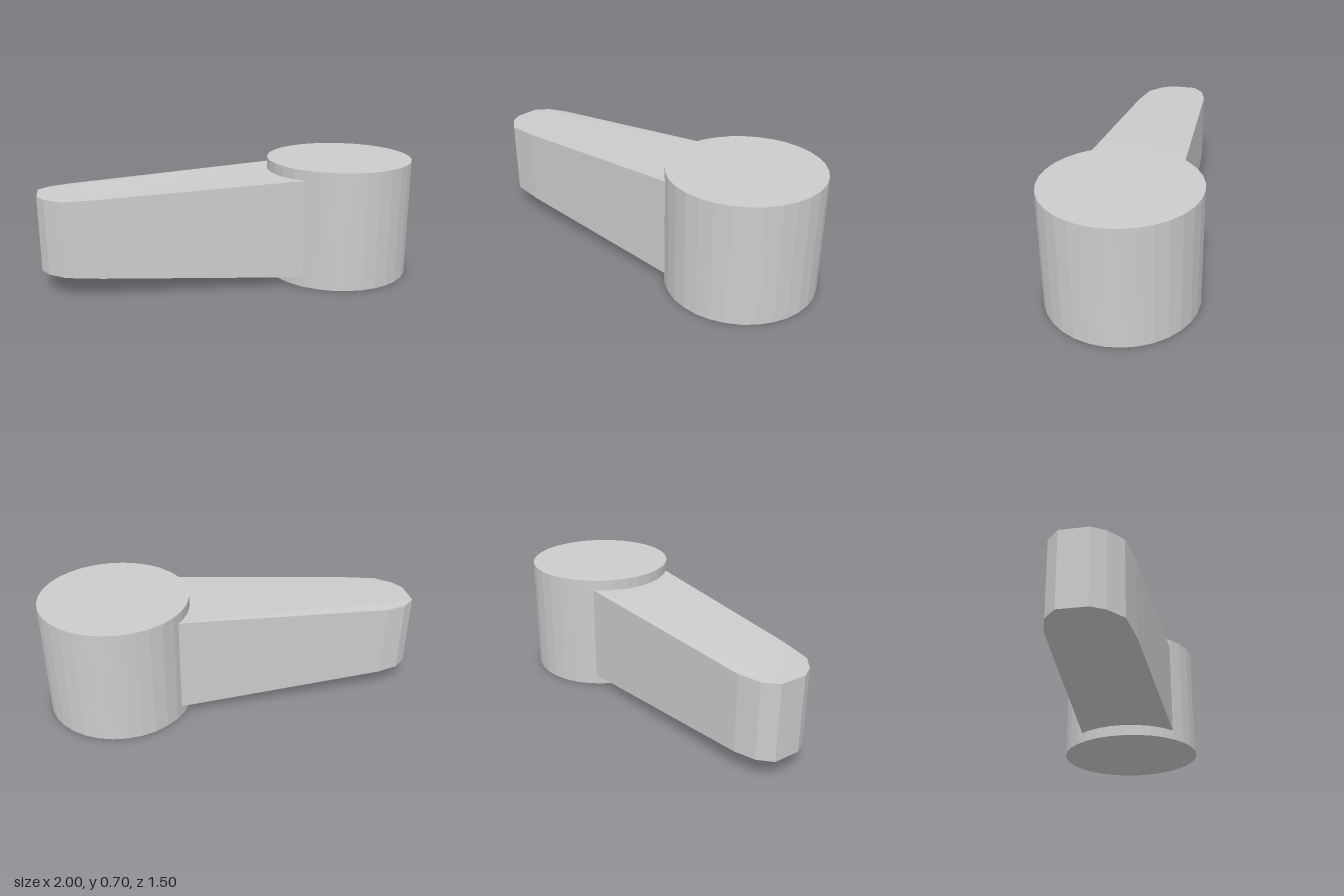
import * as THREE from 'three';

export function createModel() {
  const group = new THREE.Group();
  const material = new THREE.MeshStandardMaterial({ color: 0xcccccc, flatShading: true });
  const midHeight = 0.35;

  // Upright round hub
  const hub = new THREE.Mesh(new THREE.CylinderGeometry(0.436, 0.436, 0.7, 32), material);
  hub.name = 'hub';
  hub.position.set(0.563, midHeight, -0.315);
  group.add(hub);

  // Plan outline of the arm as [x, z]; its root is buried in the hub
  const outline = [
    [0.2, -0.4], [0.126, -0.35], [-0.89, 0.37], [-0.975, 0.465], [-1, 0.56],
    [-0.915, 0.695], [-0.84, 0.735], [-0.725, 0.75], [-0.545, 0.67],
    [0.47, 0.11], [0.56, 0.06],
  ];
  const shape = new THREE.Shape(outline.map(([x, z]) => new THREE.Vector2(x, -z)));
  const geometry = new THREE.ExtrudeGeometry(shape, { depth: 1, bevelEnabled: false });
  geometry.rotateX(-Math.PI / 2);

  // Taper the thickness from the root down to the rounded tip
  const pos = geometry.attributes.position;
  for (let i = 0; i < pos.count; i++) {
    const along = 0.85 * pos.getX(i) - 0.53 * pos.getZ(i);
    const half = Math.max(0.219, 0.29 + 0.054 * (along - 0.32));
    pos.setY(i, midHeight + (pos.getY(i) > 0.5 ? half : -half));
  }
  geometry.computeVertexNormals();
  const arm = new THREE.Mesh(geometry, material);
  arm.name = 'arm';
  group.add(arm);

  return group;
}
